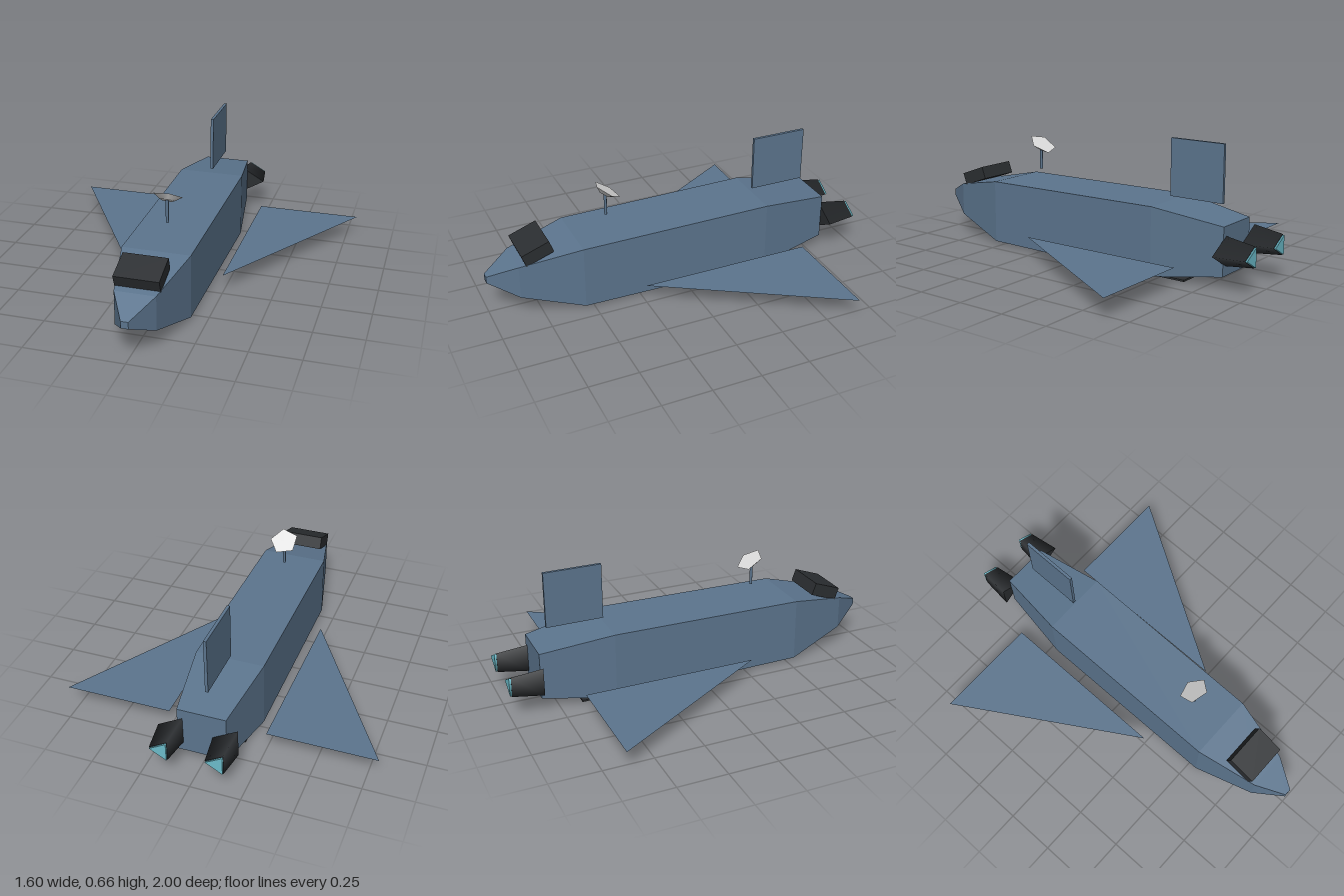
import * as THREE from 'three';

const mat = (name, color, side = THREE.FrontSide) => {
  const m = new THREE.MeshStandardMaterial({ color, side });
  m.name = name;
  return m;
};

// Closed hull through rectangular sections [z, halfWidth, bottom, top], ordered rear to front
function loftGeometry(sections) {
  const rings = sections.map(([z, w, b, t]) => [[w, t, z], [-w, t, z], [-w, b, z], [w, b, z]]);
  const pos = [];
  const quad = (a, b, c, d) => pos.push(...a, ...b, ...c, ...a, ...c, ...d);
  for (let i = 0; i < rings.length - 1; i++) {
    const A = rings[i], B = rings[i + 1];
    for (let j = 0; j < 4; j++) {
      const k = (j + 1) % 4;
      quad(A[j], A[k], B[k], B[j]);
    }
  }
  quad(...rings[rings.length - 1]);
  quad(...[...rings[0]].reverse());
  const g = new THREE.BufferGeometry();
  g.setAttribute('position', new THREE.Float32BufferAttribute(pos, 3));
  g.computeVertexNormals();
  return g;
}

export function createModel() {
  const model = new THREE.Group();
  model.name = 'shuttle';
  const hullBlue = mat('hull blue', 0x5c758e);
  const wingBlue = mat('wing blue', 0x5c758e, THREE.DoubleSide);
  const dark = mat('dark grey', 0x2b2e31);
  const glow = mat('exhaust cyan', 0x6cbccb);
  const pale = mat('dish white', 0xdddddd);

  const add = (name, geometry, material, x = 0, y = 0, z = 0) => {
    const mesh = new THREE.Mesh(geometry, material);
    mesh.name = name;
    mesh.position.set(x, y, z);
    model.add(mesh);
    return mesh;
  };

  // Hull: tapered tail, long body, two-step nose
  add('hull', loftGeometry([
    [-0.835, 0.122, 0.057, 0.298],
    [-0.465, 0.174, 0.003, 0.351],
    [0.545, 0.171, 0.013, 0.342],
    [0.855, 0.1, 0.105, 0.279],
    [1, 0.018, 0.18, 0.215],
  ]), hullBlue);

  // Cockpit block, tipped down to the nose
  add('cockpit', new THREE.BoxGeometry(0.22, 0.066, 0.152), dark, 0, 0.337, 0.757).rotation.x = 0.35;

  // Tail fin and belly hatch
  add('tailFin', new THREE.BoxGeometry(0.015, 0.288, 0.295), hullBlue, 0, 0.518, -0.613);
  add('bellyHatch', new THREE.BoxGeometry(0.28, 0.009, 0.32), dark, 0, 0.0045, -0.475);

  // Three-sided engines and flat triangular wings, one of each per side
  const prism = (front, rear, length) =>
    new THREE.CylinderGeometry(front, rear, length, 3).rotateY(Math.PI / 2).rotateX(Math.PI / 2);
  for (const [side, s] of [['left', 1], ['right', -1]]) {
    add(side + 'Engine', prism(0.084, 0.06, 0.157), dark, s * 0.137, 0.177, -0.9115);
    add(side + 'Exhaust', prism(0.056, 0.056, 0.016), glow, s * 0.137, 0.177, -0.992);

    const outline = [[0.25, -0.25], [0.8, 0.65], [0.25, 0.65]].map(([x, y]) => new THREE.Vector2(s * x, y));
    const wing = new THREE.ShapeGeometry(new THREE.Shape(outline)).rotateX(-Math.PI / 2);
    add(side + 'Wing', wing, wingBlue, 0, 0.1, 0);
  }

  // Antenna: mast with a five-sided dish tilted back
  add('antennaMast', new THREE.CylinderGeometry(0.008, 0.008, 0.12, 6), hullBlue, 0, 0.47, 0.362);
  const dish = new THREE.CylinderGeometry(0.075, 0.038, 0.022, 5).rotateY(Math.PI / 2);
  add('antennaDish', dish, pale, 0, 0.536, 0.358).rotation.x = -0.58;

  return model;
}
